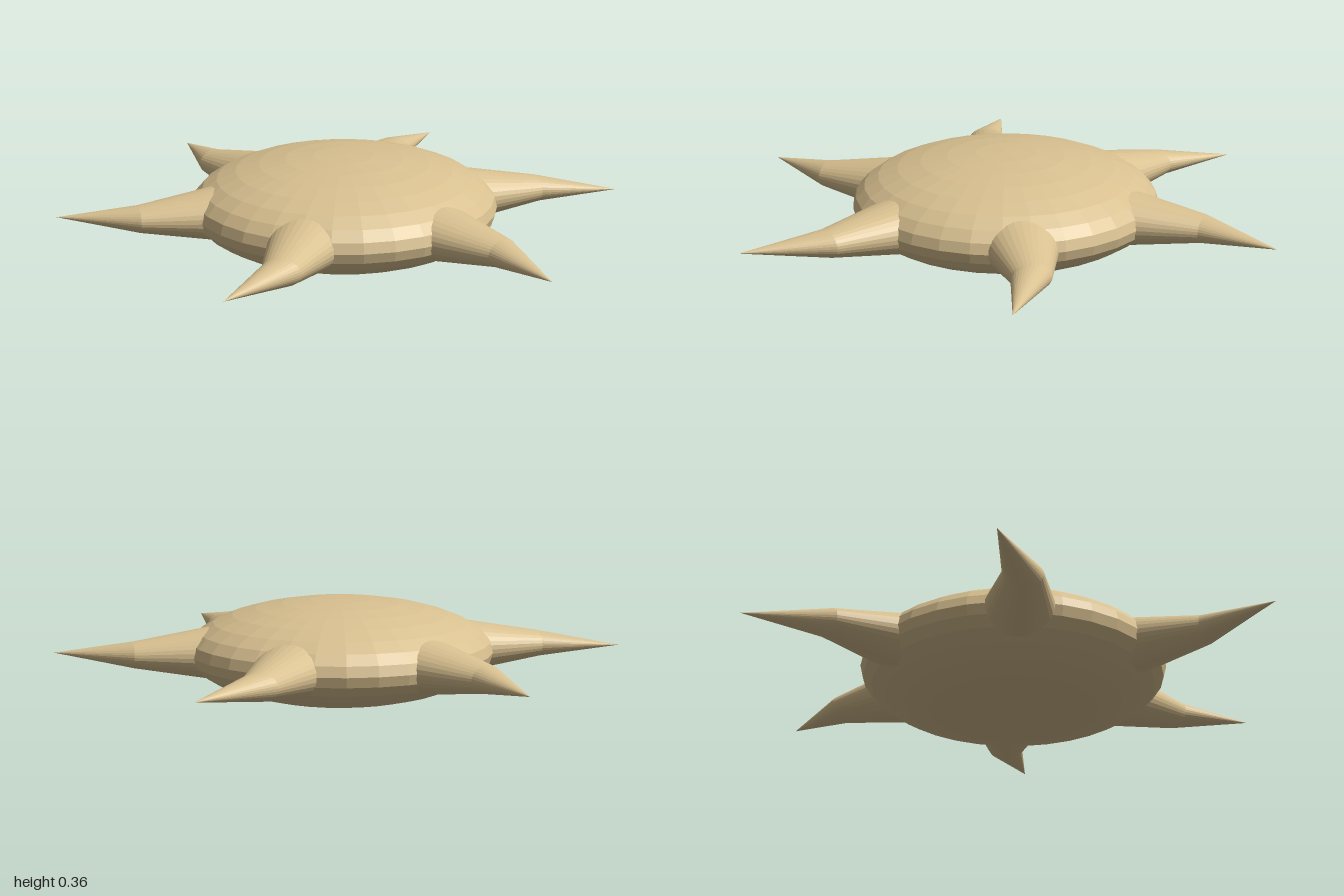
import * as THREE from 'three';

const MID_Y = 0.18;

// Cone pointing along +z, flattened in height, its outer half leaning to -x
function makeSpikeGeometry() {
  const base = 0.45, tip = 1.0, length = tip - base, lean = 0.09;
  const geometry = new THREE.ConeGeometry(0.132, length, 32, 2);
  geometry.rotateX(Math.PI / 2);
  geometry.scale(1, 0.7, 1);
  geometry.translate(0, 0, base + length / 2);
  const p = geometry.attributes.position;
  for (let i = 0; i < p.count; i++) {
    const t = (p.getZ(i) - base) / length;
    p.setX(i, p.getX(i) - lean * Math.max(0, 2 * t - 1));
  }
  geometry.computeVertexNormals();
  return geometry;
}

export function createModel() {
  const model = new THREE.Group();
  model.name = 'spikedDisc';
  const material = new THREE.MeshStandardMaterial({ color: 0xd8c090, flatShading: true });

  // Flattened round body
  const bodyGeometry = new THREE.SphereGeometry(0.54, 32, 16);
  bodyGeometry.scale(1, MID_Y / 0.54, 1);
  const body = new THREE.Mesh(bodyGeometry, material);
  body.name = 'body';
  body.position.y = MID_Y;
  model.add(body);

  // Ring of six swept spikes
  const spikeGeometry = makeSpikeGeometry();
  const spikes = new THREE.Group();
  spikes.name = 'spikes';
  for (let i = 0; i < 6; i++) {
    const spike = new THREE.Mesh(spikeGeometry, material);
    spike.name = `spike${i + 1}`;
    spike.position.y = MID_Y;
    spike.rotation.y = (i * Math.PI) / 3;
    spikes.add(spike);
  }
  model.add(spikes);

  return model;
}
